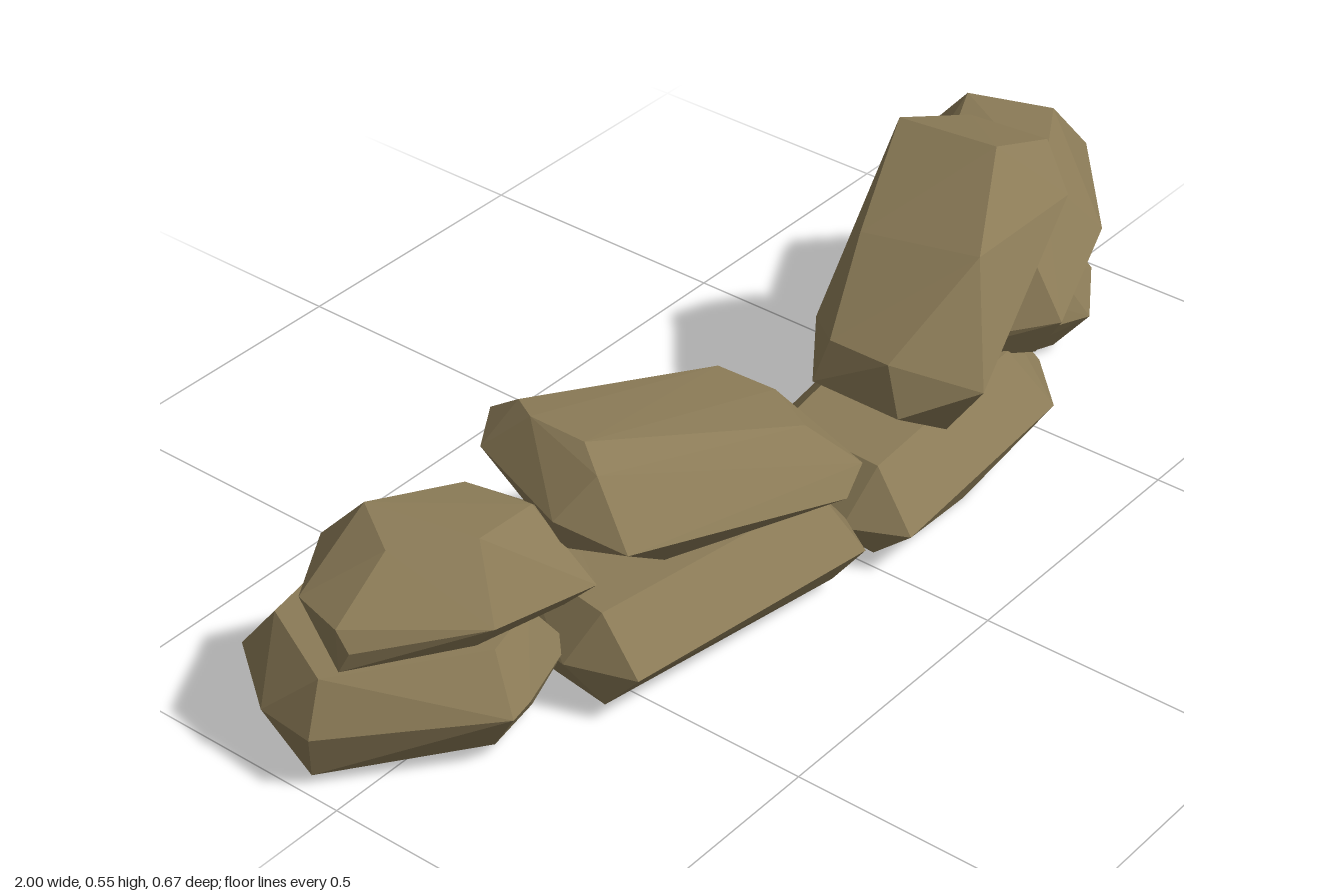
import * as THREE from 'three';
import { ConvexGeometry } from 'three/addons/geometries/ConvexGeometry.js';

// One chipped stone: a wide belt, a narrower crown above it and a foot below it
function stone(name, material, belt, crown, foot) {
  const points = [...belt, ...crown, ...foot].map((p) => new THREE.Vector3(...p));
  const mesh = new THREE.Mesh(new ConvexGeometry(points), material);
  mesh.name = name;
  return mesh;
}

// A stone resting on the ground is a hollow shell without its flat underside
function groundStone(...parts) {
  const mesh = stone(...parts);
  const { position, normal } = mesh.geometry.attributes;
  const kept = [];
  for (let i = 0; i < position.count; i += 3) {
    if (normal.getY(i) < -0.9) continue;
    for (let k = i; k < i + 3; k++) kept.push(new THREE.Vector3().fromBufferAttribute(position, k));
  }
  mesh.geometry = new THREE.BufferGeometry().setFromPoints(kept);
  mesh.geometry.computeVertexNormals();
  return mesh;
}

// Lays a flat outline of [x, z] corners at one height
const level = (y, outline) => outline.map(([x, z]) => [x, y, z]);

export function createModel() {
  const rock = new THREE.MeshStandardMaterial({ color: 0x8b7b57, flatShading: true, side: THREE.DoubleSide });
  rock.name = 'sandstone';
  const wall = new THREE.Group();
  wall.name = 'curvedStoneWall';

  // Lower course, from the right end to the left end
  wall.add(groundStone('lowerStoneRightEnd', rock,
    level(0.11, [[-1, -0.05], [-0.99, -0.16], [-0.89, -0.3], [-0.77, -0.32], [-0.55, -0.09], [-0.57, 0.1], [-0.72, 0.15], [-0.77, 0.16]]),
    level(0.2, [[-0.96, -0.06], [-0.88, -0.23], [-0.77, -0.25], [-0.61, -0.03], [-0.63, 0.07], [-0.74, 0.1]]),
    level(0.02, [[-0.98, -0.07], [-0.89, -0.24], [-0.78, -0.26], [-0.6, -0.02], [-0.64, 0.08], [-0.75, 0.1]])));

  wall.add(groundStone('lowerStoneRightInner', rock,
    level(0.1, [[-0.61, 0.12], [-0.57, 0.24], [-0.08, 0.31], [-0.03, 0.23], [-0.03, 0.1], [-0.07, -0.03], [-0.5, -0.11], [-0.57, -0.06]]),
    level(0.19, [[-0.56, 0.16], [-0.1, 0.23], [-0.08, 0.05], [-0.53, -0.03]]),
    level(0.02, [[-0.57, 0.17], [-0.09, 0.25], [-0.07, 0.04], [-0.54, -0.05]])));

  wall.add(groundStone('lowerStoneLeftInner', rock,
    level(0.085, [[-0.04, 0.23], [0.01, 0.335], [0.07, 0.33], [0.47, 0.3], [0.57, 0.2], [0.57, 0.13], [0.5, -0.03], [0.47, -0.09], [0.01, -0.03]]),
    level(0.18, [[0.03, 0.25], [0.44, 0.22], [0.52, 0.16], [0.48, -0.01], [0.04, 0.05]]),
    [...level(0.02, [[0.01, 0.26], [0.02, 0.03], [0.48, -0.02]]), [0.25, 0, 0.27], [0.5, 0.01, 0.22]]));

  wall.add(groundStone('lowerStoneLeftEnd', rock,
    [[0.57, 0.09, 0.12], [0.74, 0.085, 0.19], [0.91, 0.06, 0.08], [1, 0.1, -0.1], [0.97, 0.125, -0.19],
      [0.77, 0.09, -0.335], [0.5, 0.08, -0.04]],
    [[0.6, 0.17, 0.1], [0.71, 0.17, 0.14], [0.91, 0.2, -0.09], [0.78, 0.2, -0.21], [0.56, 0.18, -0.02]],
    [[0.6, 0.01, 0.08], [0.72, 0.01, 0.13], [0.82, 0, 0.04], [0.99, 0.02, -0.165], [0.79, 0.015, -0.3], [0.53, 0.02, -0.03]]));

  // Upper course, tilted stones leaning on each other
  wall.add(stone('upperStoneRightEnd', rock,
    [[-0.955, 0.31, -0.02], [-0.95, 0.27, 0], [-0.77, 0.27, 0.13], [-0.57, 0.25, 0.16], [-0.49, 0.28, 0.02],
      [-0.52, 0.28, -0.1], [-0.77, 0.285, -0.23], [-0.93, 0.31, -0.12]],
    [[-0.84, 0.39, -0.02], [-0.72, 0.38, 0.06], [-0.59, 0.365, 0.05], [-0.61, 0.365, -0.07], [-0.77, 0.39, -0.13]],
    [[-0.955, 0.23, -0.02], [-0.76, 0.21, 0.08], [-0.58, 0.19, 0.1], [-0.55, 0.19, -0.03], [-0.78, 0.21, -0.17], [-0.9, 0.22, -0.1]]));

  wall.add(stone('upperStoneRightInner', rock,
    [[-0.6, 0.36, 0.1], [-0.565, 0.33, 0.22], [-0.14, 0.24, 0.315], [-0.08, 0.27, 0.3], [-0.045, 0.26, 0.2],
      [-0.05, 0.26, 0.08], [-0.07, 0.29, -0.05], [-0.46, 0.39, -0.15], [-0.54, 0.38, -0.1]],
    [[-0.51, 0.455, 0.09], [-0.51, 0.455, -0.02], [-0.47, 0.44, -0.08], [-0.1, 0.35, 0.02], [-0.09, 0.345, 0.13], [-0.14, 0.345, 0.23], [-0.54, 0.43, 0.14]],
    [[-0.58, 0.3, 0.1], [-0.42, 0.215, 0.17], [-0.13, 0.19, 0.23], [-0.08, 0.19, 0.08], [-0.42, 0.22, -0.05]]));

  wall.add(stone('upperStoneLeftInner', rock,
    [[0.11, 0.22, 0.23], [0.2, 0.27, 0.337], [0.54, 0.46, 0.26], [0.62, 0.41, 0.16], [0.62, 0.41, 0],
      [0.53, 0.435, -0.1], [0.2, 0.28, -0.01], [0.1, 0.23, 0.06]],
    [[0.12, 0.31, 0.2], [0.12, 0.31, 0.08], [0.3, 0.45, 0.25], [0.475, 0.545, 0.155], [0.48, 0.525, -0.05], [0.62, 0.495, 0.16], [0.62, 0.485, 0], [0.28, 0.42, 0.02]],
    [[0.2, 0.167, 0.265], [0.2, 0.167, 0.07], [0.56, 0.4, 0.21], [0.5, 0.29, 0.17], [0.5, 0.28, 0]]));

  wall.add(stone('upperStoneLeftEnd', rock,
    [[0.32, 0.21, 0.12], [0.48, 0.25, 0.3], [0.74, 0.275, 0.205], [0.915, 0.31, 0.05],
      [0.9, 0.33, -0.08], [0.77, 0.285, -0.23], [0.68, 0.29, -0.18], [0.46, 0.26, -0.1], [0.34, 0.22, 0.04]],
    [[0.49, 0.345, 0.23], [0.63, 0.41, 0.15], [0.81, 0.428, 0.045], [0.76, 0.428, -0.105], [0.76, 0.33, -0.185], [0.5, 0.37, 0]],
    [[0.33, 0.18, 0.12], [0.48, 0.17, 0.25], [0.75, 0.163, 0.15], [0.91, 0.21, -0.03], [0.76, 0.215, -0.18], [0.45, 0.18, -0.03]]));

  return wall;
}
